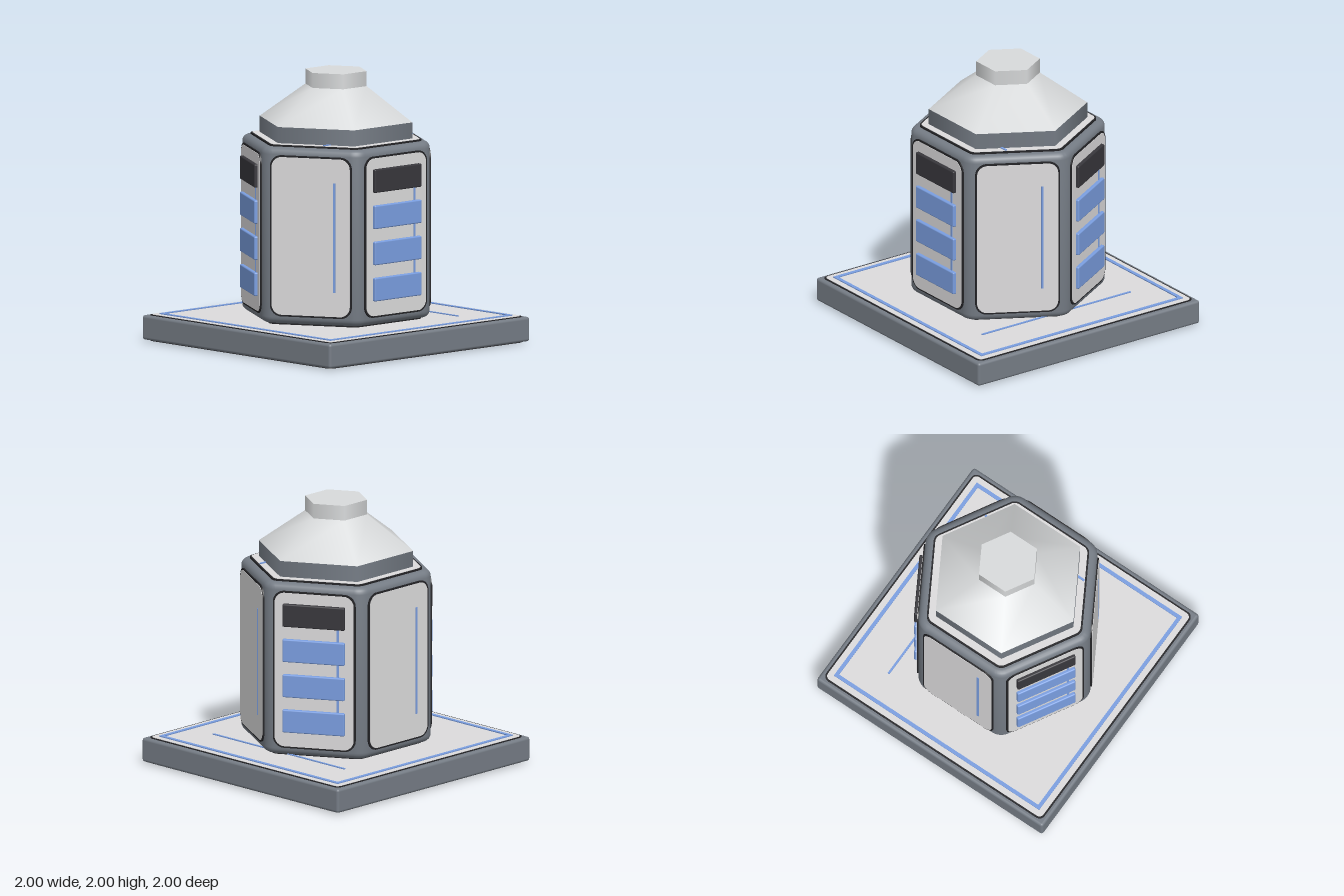
import * as THREE from 'three';
import { toCreasedNormals } from 'three/addons/utils/BufferGeometryUtils.js';
import { RoundedBoxGeometry } from 'three/addons/geometries/RoundedBoxGeometry.js';

const material = (name, color) => {
  const m = new THREE.MeshStandardMaterial({ color });
  m.name = name;
  return m;
};

// Closed outline with an arc of radius r around each corner centre
function roundedOutline(centres, r, firstAngle) {
  const n = centres.length;
  const shape = new THREE.Shape();
  centres.forEach(([x, y], k) => {
    const a = firstAngle + (k * 2 * Math.PI) / n;
    shape.absarc(x, y, r, a - Math.PI / n, a + Math.PI / n, false);
  });
  shape.closePath();
  return shape;
}

// Six-sided outline with corners on +x and -x
function hexOutline(apothem, r) {
  const d = (apothem - r) / Math.cos(Math.PI / 6);
  const centres = [];
  for (let k = 0; k < 6; k++) {
    const a = (k * Math.PI) / 3;
    centres.push([d * Math.cos(a), d * Math.sin(a)]);
  }
  return roundedOutline(centres, r, 0);
}

function rectOutline(w, h, r) {
  const x = w / 2 - r, y = h / 2 - r;
  return roundedOutline([[x, y], [-x, y], [-x, -y], [x, -y]], r, Math.PI / 4);
}

const extrude = (shape, depth, extra = {}) => toCreasedNormals(
  new THREE.ExtrudeGeometry(shape, { depth, bevelEnabled: false, curveSegments: 6, ...extra }), 0.6);

export function createModel() {
  const shell = material('slate shell', 0x757c85);
  const light = material('light panel', 0xdcdbdc);
  const roofGrey = material('roof grey', 0xd8dadb);
  const blue = material('blue', 0x7a9ee0);
  const dark = material('dark display', 0x38373c);
  const trim = material('black trim', 0x232326);

  const model = new THREE.Group();
  model.name = 'hexagonalKiosk';

  const add = (parent, name, geometry, mat, x = 0, y = 0, z = 0) => {
    const mesh = new THREE.Mesh(geometry, mat);
    mesh.name = name;
    mesh.position.set(x, y, z);
    parent.add(mesh);
    return mesh;
  };

  // Horizontal slab from y0 to y1
  const slab = (name, shape, y0, y1, mat) =>
    add(model, name, extrude(shape, y1 - y0).rotateX(-Math.PI / 2), mat, 0, y0);

  // Square base with inlaid panels above and below
  add(model, 'base', new RoundedBoxGeometry(2, 0.18, 2, 3, 0.02), shell, 0, 0.1, 0);
  slab('baseTopTrim', rectOutline(1.935, 1.935, 0.045), 0.185, 0.195, trim);
  slab('baseTopPanel', rectOutline(1.91, 1.91, 0.035), 0.19, 0.198, light);
  slab('baseBottomTrim', rectOutline(1.935, 1.935, 0.045), 0.003, 0.015, trim);
  slab('baseBottomPanel', rectOutline(1.91, 1.91, 0.035), 0, 0.008, light);

  // Blue border and guide line on the floor
  const border = rectOutline(1.82, 1.82, 0.002);
  border.holes.push(rectOutline(1.765, 1.765, 0.002));
  slab('floorBorder', border, 0.198, 0.205, blue);
  add(model, 'floorLine', new THREE.BoxGeometry(0.016, 0.007, 1.34), blue, 0.592, 0.2015, 0);

  // Body with softened edges
  const bevel = 0.05;
  const bodyGeometry = extrude(hexOutline(0.628 - bevel, 0.07), 1.295 - 2 * bevel, {
    bevelEnabled: true, bevelSize: bevel, bevelThickness: bevel, bevelSegments: 5,
  }).rotateX(-Math.PI / 2);
  add(model, 'body', bodyGeometry, shell, 0, 0.21 + bevel, 0);
  slab('bodyBottomTrim', hexOutline(0.565, 0.07), 0.198, 0.215, trim);
  slab('bodyTopTrim', hexOutline(0.568, 0.07), 1.5, 1.517, trim);
  slab('bodyTopPanel', hexOutline(0.555, 0.06), 1.51, 1.52, light);
  add(model, 'bodyTopLine', new THREE.BoxGeometry(0.88, 0.007, 0.016), blue, 0, 1.5235, 0.34);

  // Six side panels; every second one carries a display and three bars
  const trimGeometry = extrude(rectOutline(0.62, 1.185, 0.085), 0.018);
  const panelGeometry = extrude(rectOutline(0.594, 1.16, 0.075), 0.012);
  const stripeGeometry = new THREE.BoxGeometry(0.016, 0.805, 0.008);
  const barGeometry = new RoundedBoxGeometry(0.466, 0.172, 0.05, 2, 0.01);
  for (let k = 0; k < 6; k++) {
    const side = new THREE.Group();
    side.name = 'side' + (k + 1);
    side.rotation.y = (k * Math.PI) / 3;
    add(side, 'panelTrim', trimGeometry, trim, 0, 0.86, 0.62);
    add(side, 'panel', panelGeometry, light, 0, 0.86, 0.629);
    add(side, 'stripe', stripeGeometry, blue, 0.18, 0.86, 0.642);
    if (k % 2 === 0) {
      add(side, 'display', barGeometry, dark, 0, 1.274, 0.641);
      [1.008, 0.742, 0.476].forEach((y) => add(side, 'bar', barGeometry, blue, 0, y, 0.641));
    }
    model.add(side);
  }

  // Roof: collar, cone and cap, with corners on the x axis
  const hexDrum = (name, rTop, rBottom, y0, y1, mat) => add(model, name,
    new THREE.CylinderGeometry(rTop, rBottom, y1 - y0, 6).rotateY(Math.PI / 2), mat, 0, (y0 + y1) / 2, 0);
  hexDrum('roofCollar', 0.58, 0.58, 1.515, 1.638, shell);
  hexDrum('roofCone', 0.233, 0.58, 1.638, 1.89, roofGrey);
  hexDrum('roofCap', 0.233, 0.233, 1.89, 2, roofGrey);

  return model;
}
